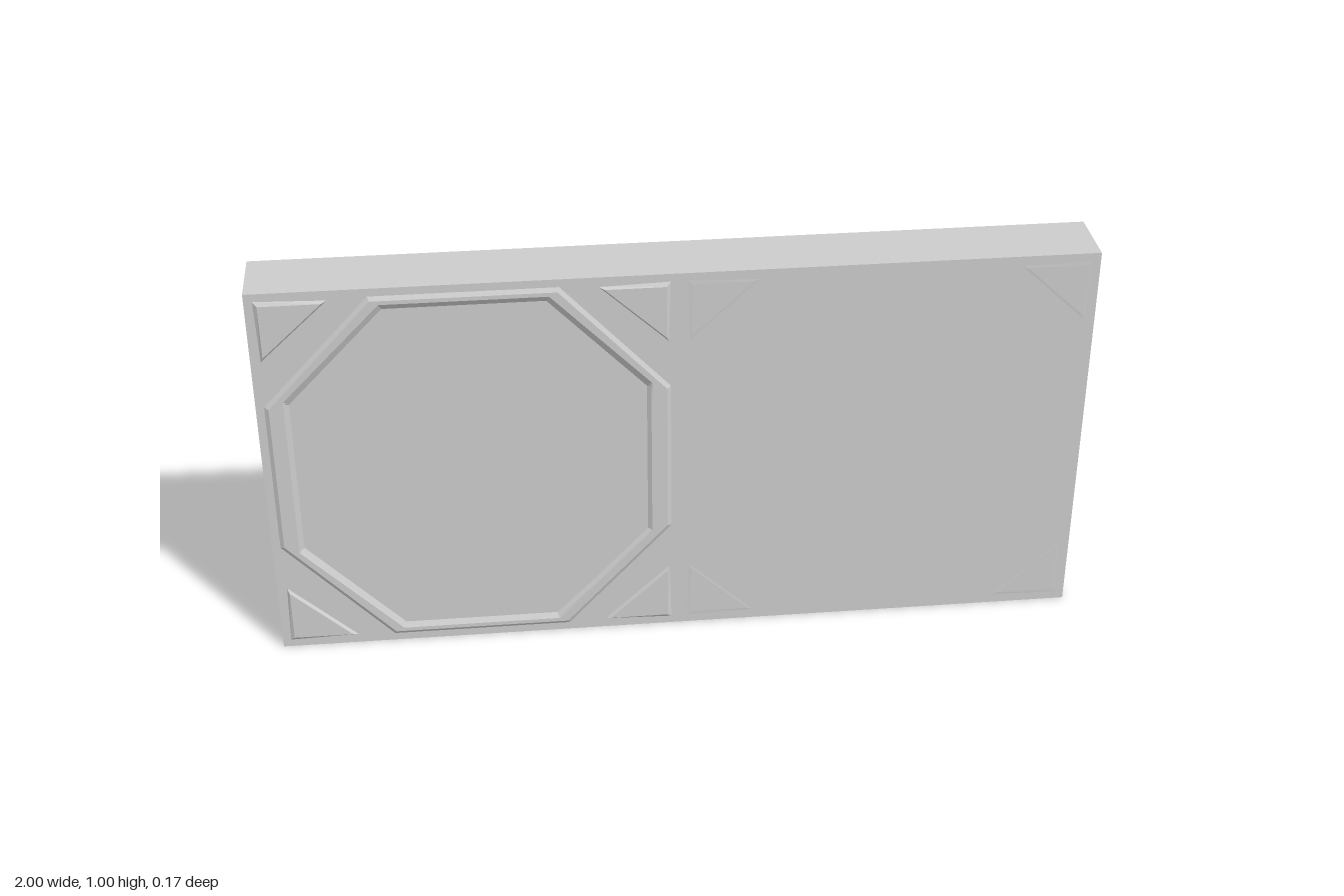
import * as THREE from 'three';

const FACE = 0.08, BACK = -0.087;
const material = new THREE.MeshStandardMaterial({ color: 0xcccccc, flatShading: true });

// Octagon corners, counter-clockwise, around the centre of a one-unit panel
function octagon(halfW, halfH, flatX, flatY) {
  return [
    [halfW, -flatY], [halfW, flatY], [flatX, halfH], [-flatX, halfH],
    [-halfW, flatY], [-halfW, -flatY], [-flatX, -halfH], [flatX, -halfH],
  ].map(([x, y]) => new THREE.Vector2(x, y));
}

// Relief rooted inside the panel, rising from its face with a chamfered edge
function relief(name, shape, height, chamfer) {
  const geometry = new THREE.ExtrudeGeometry(shape, {
    depth: 0.02, bevelEnabled: true, bevelSegments: 1,
    bevelThickness: height, bevelSize: chamfer, bevelOffset: 0,
  });
  const mesh = new THREE.Mesh(geometry, material);
  mesh.name = name;
  mesh.position.z = FACE - 0.02;
  return mesh;
}

// One square slab with a triangle in each corner
function panel(name, x, triangleHeight) {
  const group = new THREE.Group();
  group.name = name;
  group.position.set(x, 0.5, 0);
  const slab = new THREE.Mesh(new THREE.BoxGeometry(1, 1, FACE - BACK), material);
  slab.name = 'slab';
  slab.position.z = (FACE + BACK) / 2;
  group.add(slab);
  for (const sx of [-1, 1]) for (const sy of [-1, 1]) {
    const triangle = new THREE.Shape([[0.47, 0.47], [0.325, 0.47], [0.47, 0.335]]
      .map(([px, py]) => new THREE.Vector2(sx * px, sy * py)));
    group.add(relief('cornerTriangle', triangle, triangleHeight, 0.01));
  }
  return group;
}

export function createModel() {
  const model = new THREE.Group();
  model.name = 'wallPanels';

  // Decorated panel: raised octagonal frame and corner triangles
  const decorated = panel('decoratedPanel', -0.5, 0.007);
  const ring = new THREE.Shape(octagon(0.47, 0.47, 0.216, 0.196));
  ring.holes.push(new THREE.Path(octagon(0.435, 0.46, 0.196, 0.214).reverse()));
  ring.holes[0].setFromPoints(octagon(0.432, 0.456, 0.194, 0.208).reverse());
  decorated.add(relief('octagonFrame', ring, 0.007, 0.01));
  model.add(decorated);

  // Plain panel: corner triangles almost flush with the face
  model.add(panel('plainPanel', 0.5, 0.0006));
  return model;
}
